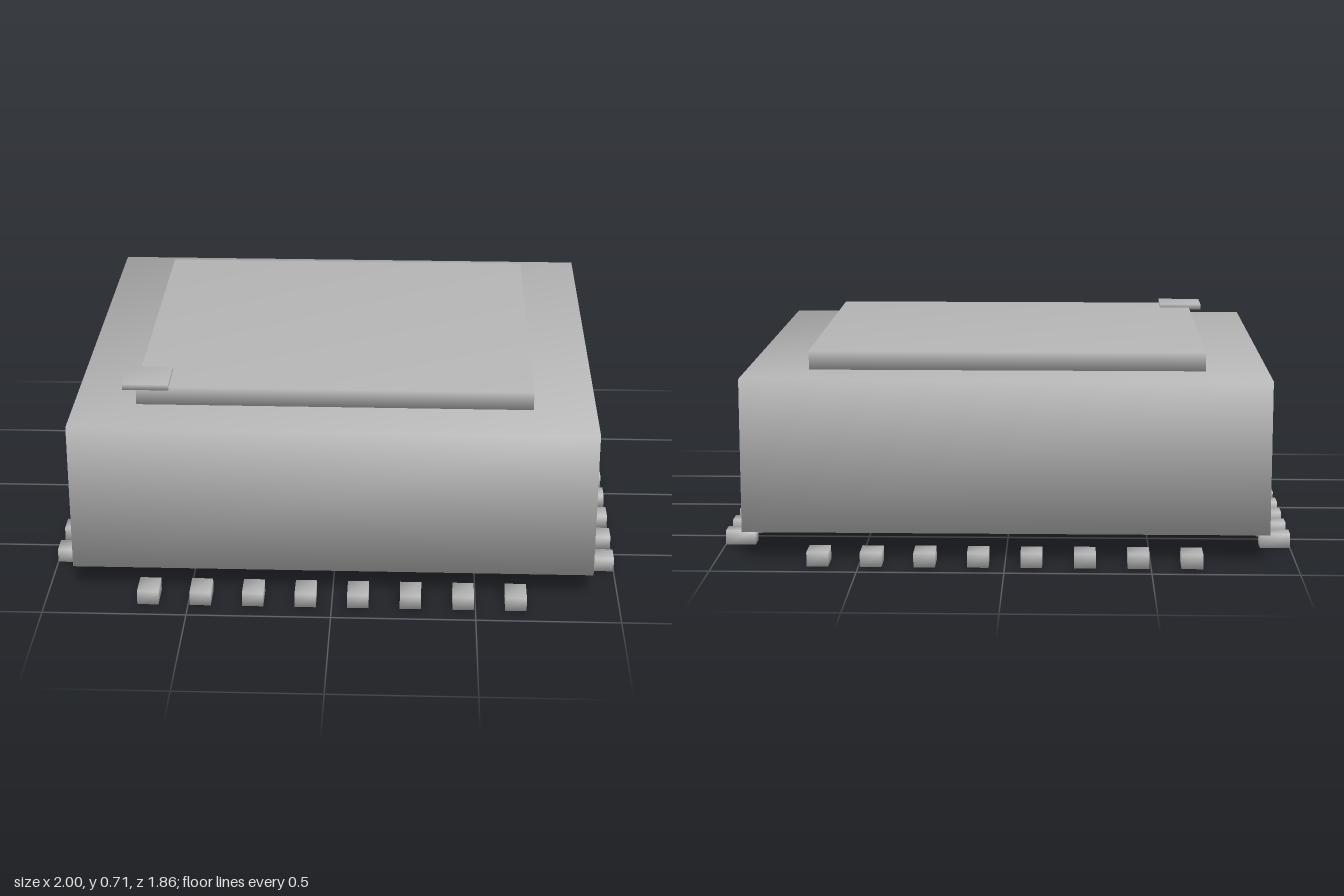
import * as THREE from 'three';
import { mergeVertices } from 'three/addons/utils/BufferGeometryUtils.js';

// Box given by its limits, with normals shared across the corners for soft shading
function softBox(name, material, [x0, x1], [y0, y1], [z0, z1]) {
  let geometry = new THREE.BoxGeometry(x1 - x0, y1 - y0, z1 - z0);
  geometry.deleteAttribute('normal');
  geometry.deleteAttribute('uv');
  geometry = mergeVertices(geometry);
  geometry.computeVertexNormals();
  const mesh = new THREE.Mesh(geometry, material);
  mesh.name = name;
  mesh.position.set((x0 + x1) / 2, (y0 + y1) / 2, (z0 + z1) / 2);
  return mesh;
}

export function createModel() {
  const model = new THREE.Group();
  model.name = 'chipPackage';
  const grey = new THREE.MeshStandardMaterial({ color: 0xb4b4b4 });
  grey.name = 'grey';

  // Main block, raised lid and corner marker
  model.add(
    softBox('body', grey, [-0.91, 0.91], [0.098, 0.634], [-0.843, 0.843]),
    softBox('lid', grey, [-0.692, 0.692], [0.634, 0.7], [-0.641, 0.641]),
    softBox('cornerMarker', grey, [-0.738, -0.578], [0.693, 0.714], [0.493, 0.653])
  );

  // Eight contact pads along each of the four edges, separate from the body
  const pads = new THREE.Group();
  pads.name = 'contactPads';
  const height = [0, 0.05];
  for (let i = 0; i < 8; i++) {
    const t = (i - 3.5) / 3.5;
    const x = 0.64 * t, z = 0.592 * t;
    const xSpan = [x - 0.037, x + 0.037], zSpan = [z - 0.037, z + 0.037];
    pads.add(
      softBox('frontPad', grey, xSpan, height, [0.826, 0.93]),
      softBox('backPad', grey, xSpan, height, [-0.93, -0.826]),
      softBox('leftPad', grey, [0.894, 1], height, zSpan),
      softBox('rightPad', grey, [-1, -0.894], height, zSpan)
    );
  }
  model.add(pads);
  return model;
}
